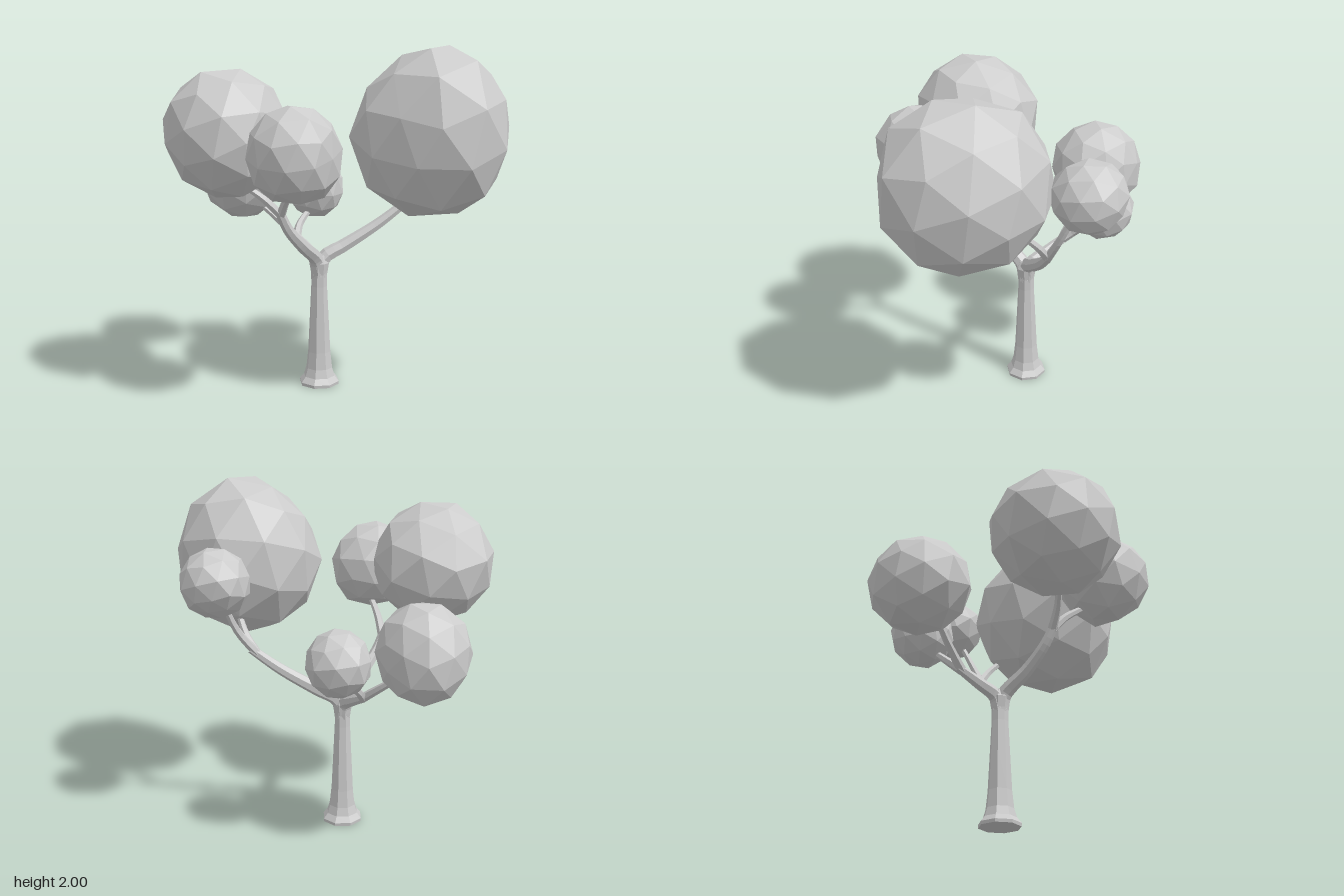
import * as THREE from 'three';

const material = new THREE.MeshStandardMaterial({ color: 0xcccccc, flatShading: true });

// Faceted foliage ball, turned, given bulges and dents [x, y, z, amount] along
// directions, then fitted to a box given by centre and half sizes
function foliage(name, [cx, cy, cz], [rx, ry, rz], turn, bumps) {
  const geo = new THREE.IcosahedronGeometry(1, 1);
  geo.rotateX(turn);
  geo.rotateZ(turn * 1.7);
  const p = geo.attributes.position;
  const v = new THREE.Vector3();
  const dirs = bumps.map(([x, y, z]) => new THREE.Vector3(x, y, z).normalize());
  for (let i = 0; i < p.count; i++) {
    v.fromBufferAttribute(p, i);
    const scale = dirs.reduce((s, d, k) => s + bumps[k][3] * Math.max(0, d.dot(v)) ** 6, 1);
    p.setXYZ(i, v.x * scale, v.y * scale, v.z * scale);
  }
  geo.center();
  geo.computeBoundingBox();
  const b = geo.boundingBox.max;
  geo.scale(rx / b.x, ry / b.y, rz / b.z);
  geo.translate(cx, cy, cz);
  geo.computeVertexNormals();
  const mesh = new THREE.Mesh(geo, material);
  mesh.name = name;
  return mesh;
}

// Tapered limb along a smooth curve
function limb(name, points, r0, r1, sides = 7) {
  const curve = new THREE.CatmullRomCurve3(points.map((a) => new THREE.Vector3(...a)));
  const steps = points.length * 3;
  const geo = new THREE.TubeGeometry(curve, steps, 1, sides, false);
  const p = geo.attributes.position;
  const v = new THREE.Vector3();
  for (let i = 0; i < p.count; i++) {
    const t = Math.floor(i / (sides + 1)) / steps;
    const c = curve.getPointAt(t);
    v.fromBufferAttribute(p, i).sub(c).multiplyScalar(r0 + (r1 - r0) * t).add(c);
    p.setXYZ(i, v.x, v.y, v.z);
  }
  geo.computeVertexNormals();
  const mesh = new THREE.Mesh(geo, material);
  mesh.name = name;
  return mesh;
}

export function createModel() {
  const tree = new THREE.Group();
  tree.name = 'tree';

  // Trunk with a flared foot
  const profile = [[0, 0], [0.118, 0], [0.12, 0.018], [0.094, 0.05], [0.079, 0.1], [0.068, 0.2],
    [0.057, 0.42], [0.048, 0.6], [0.048, 0.67], [0.06, 0.74], [0.042, 0.785], [0, 0.795]];
  const trunk = new THREE.Mesh(
    new THREE.LatheGeometry(profile.map(([r, y]) => new THREE.Vector2(r, y)), 8, Math.PI / 8), material);
  trunk.position.set(-0.054, 0, -0.03);
  trunk.name = 'trunk';
  tree.add(trunk);

  // Main branches, each splitting into two twigs
  const start = [-0.055, 0.66, -0.03];
  const forks = [
    { side: 'left',
      path: [start, [-0.03, 0.76, -0.035], [0.1, 0.835, -0.045], [0.3, 0.955, -0.055], [0.47, 1.08, -0.06]],
      twigs: [[[0.54, 1.19, -0.09], [0.62, 1.4, -0.17]], [[0.5, 1.15, 0], [0.55, 1.27, 0.11]]] },
    { side: 'right',
      path: [start, [-0.07, 0.76, -0.01], [-0.17, 0.875, 0.1], [-0.26, 0.99, 0.18], [-0.31, 1.1, 0.23]],
      twigs: [[[-0.4, 1.175, 0.23], [-0.52, 1.26, 0.21]], [[-0.28, 1.17, 0.3], [-0.24, 1.27, 0.43]]] },
    { side: 'back',
      path: [start, [-0.065, 0.745, -0.055], [-0.11, 0.8, -0.16], [-0.17, 0.86, -0.29]],
      twigs: [[[-0.26, 0.94, -0.35], [-0.4, 1.06, -0.45]], [[-0.13, 0.91, -0.34], [-0.04, 1.01, -0.42]]] },
  ];
  for (const { side, path, twigs } of forks) {
    tree.add(limb(side + 'Branch', path, 0.048, 0.026));
    const [before, end] = path.slice(-2);
    const root = end.map((e, i) => e + (before[i] - e) * 0.2);
    twigs.forEach((t, i) => tree.add(limb(side + 'Twig' + (i + 1), [root, ...t], 0.027, 0.016, 6)));
  }

  // Foliage balls
  tree.add(
    foliage('largeLeftFoliage', [0.49, 1.545, 0.37], [0.432, 0.455, 0.45], 0.4,
      [[-0.65, 0.76, 0, -0.12], [-0.5, 0, 0.87, -0.12], [0.2, 0.58, 0.81, 0.08], [0.3, -0.5, 0.8, 0.07]]),
    foliage('smallLeftFoliage', [0.645, 1.498, -0.23], [0.19, 0.188, 0.195], 1.1,
      [[0, -0.65, -0.75, -0.17], [-0.65, 0, 0.75, 0.08]]),
    foliage('largeRightFoliage', [-0.583, 1.528, 0.168], [0.345, 0.348, 0.358], 0.8,
      [[-0.67, 0, -0.74, 0.12], [0.55, 0, -0.83, 0.1], [0.55, 0, 0.83, -0.11], [-0.65, 0.75, 0, 0.05]]),
    foliage('frontFoliage', [-0.26, 1.453, 0.54], [0.252, 0.252, 0.258], 1.9,
      [[0.9, 0, -0.43, 0.1], [0.75, 0, 0.65, -0.11], [0.65, -0.75, 0, 0.13], [-0.6, -0.8, 0, 0.07]]),
    foliage('backRightFoliage', [-0.46, 1.193, -0.545], [0.258, 0.263, 0.28], 2.6,
      [[0.8, 0, -0.6, -0.08], [0.7, 0, 0.7, 0.06], [-0.64, 0, 0.77, 0.11], [0, -0.55, -0.83, 0.09]]),
    foliage('backFoliage', [-0.015, 1.113, -0.478], [0.176, 0.188, 0.179], 3.3,
      [[-0.5, 0, -0.86, 0.13], [0.55, 0, -0.83, 0.11]]),
  );
  return tree;
}
